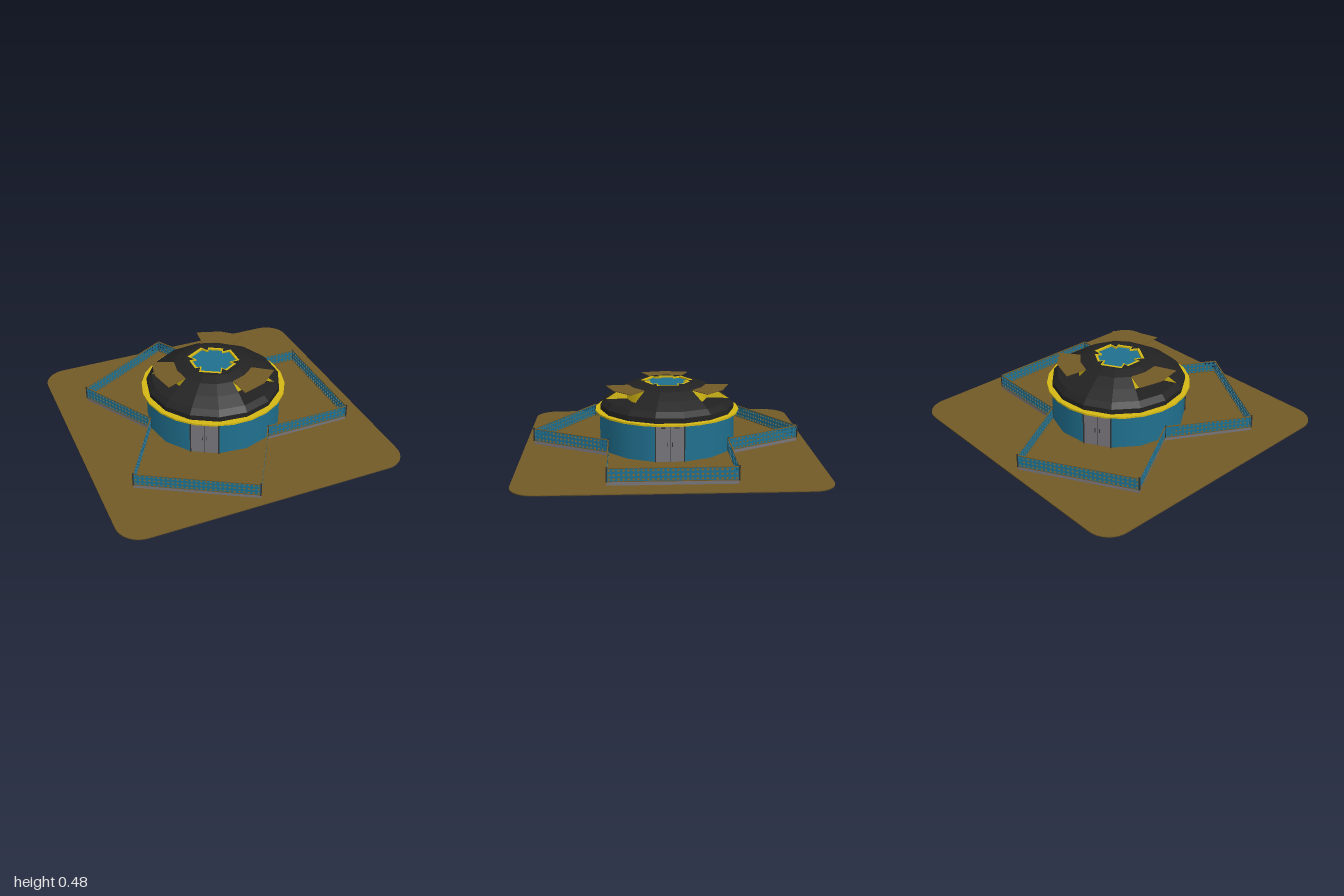
import * as THREE from 'three';

const DEG = Math.PI / 180;
const mat = (color, opts = {}) => new THREE.MeshStandardMaterial({ color, ...opts });
const polar = (r, deg) => new THREE.Vector2(r * Math.cos(deg * DEG), r * Math.sin(deg * DEG));

export function createModel() {
  const model = new THREE.Group();
  const brown = mat(0x735a26), grey = mat(0x77757a), dark = mat(0x333333);
  const yellow = mat(0xd4b814, { side: THREE.DoubleSide });
  const blue = mat(0x20708f, { side: THREE.DoubleSide });
  const roof = mat(0x222222, { flatShading: true, side: THREE.DoubleSide });

  function add(parent, name, geometry, material, x = 0, y = 0, z = 0) {
    const mesh = new THREE.Mesh(geometry, material);
    mesh.name = name;
    mesh.position.set(x, y, z);
    parent.add(mesh);
    return mesh;
  }

  // horizontal slab from a list of plan points, with optional hole
  function slab(parent, name, outline, y, height, material, hole) {
    const shape = new THREE.Shape(outline);
    if (hole) shape.holes.push(new THREE.Path(hole));
    const g = new THREE.ExtrudeGeometry(shape, { depth: height, bevelEnabled: false });
    return add(parent, name, g.rotateX(-Math.PI / 2), material, 0, y, 0);
  }

  // part of a revolved surface between two compass angles, 24 degrees per side
  function sector(parent, name, profile, from, to, material) {
    const pts = profile.map(([r, y]) => new THREE.Vector2(r, y));
    const g = new THREE.LatheGeometry(pts, (to - from) / 24, (from + 90) * DEG, (to - from) * DEG);
    return add(parent, name, g, material);
  }

  // ground plate with rounded corners
  const plate = [];
  for (const [sx, sz, start] of [[1, 1, 0], [-1, 1, 90], [-1, -1, 180], [1, -1, 270]]) {
    for (let i = 0; i <= 8; i++) {
      plate.push(polar(0.16, start + i * 11.25).add(new THREE.Vector2(sx * 0.84, sz * 0.84)));
    }
  }
  slab(model, 'groundUnderside', plate, 0, 0.005, dark);
  slab(model, 'ground', plate, 0.005, 0.005, brown);

  // three-armed yard platform
  const YX = 0.85, YZ = 0.408, NX = YZ / Math.tan(60 * DEG);
  const yard = [];
  for (const turn of [0, 120, 240]) {
    for (const [x, z] of [[YX, -YZ], [YX, YZ], [NX, YZ]]) {
      yard.push(new THREE.Vector2(x, z).rotateAround(new THREE.Vector2(), turn * DEG));
    }
  }
  slab(model, 'yardPlatform', yard, 0.01, 0.022, [brown, grey]);

  // lattice fence running along +x from its origin
  function fence(length) {
    const group = new THREE.Group();
    group.name = 'fence';
    const h = 0.086, rows = 3, cols = Math.round(length / 0.03);
    const dx = length / cols, dy = h / rows;
    const panel = new THREE.Shape([[0, 0], [length, 0], [length, h], [0, h]].map(p => new THREE.Vector2(...p)));
    for (let i = 0; i < cols; i++) for (let j = 0; j < rows; j++) {
      const cx = (i + 0.5) * dx, cy = (j + 0.5) * dy, a = dx * 0.34, b = dy * 0.34;
      panel.holes.push(new THREE.Path([[cx - a, cy], [cx, cy + b], [cx + a, cy], [cx, cy - b]].map(p => new THREE.Vector2(...p))));
    }
    add(group, 'fenceLattice', new THREE.ExtrudeGeometry(panel, { depth: 0.003, bevelEnabled: false }), blue, 0, 0.034, -0.0015);
    for (const y of [0.036, 0.121]) {
      add(group, 'fenceRail', new THREE.BoxGeometry(length, 0.005, 0.007), brown, length / 2, y, 0);
    }
    for (const x of [0, length]) {
      add(group, 'fencePost', new THREE.BoxGeometry(0.009, 0.097, 0.009), dark, x, 0.08, 0);
    }
    return group;
  }
  // the plan's second axis becomes -z once the slab is laid flat
  yard.forEach((p, i) => {
    const q = yard[(i + 1) % yard.length];
    const f = fence(p.distanceTo(q));
    f.position.set(p.x, 0, -p.y);
    f.rotation.y = Math.atan2(q.y - p.y, q.x - p.x);
    model.add(f);
  });

  // door with frame, seam and handles, on a flat face pointing to +x
  function door() {
    const group = new THREE.Group();
    group.name = 'door';
    const x = 0.47 * Math.cos(12 * DEG), w = 0.19;
    add(group, 'doorPanel', new THREE.BoxGeometry(0.012, 0.25, w), grey, x - 0.005, 0.156, 0);
    for (const s of [-1, 1]) {
      add(group, 'doorJamb', new THREE.BoxGeometry(0.016, 0.25, 0.008), dark, x, 0.156, s * w / 2);
      add(group, 'doorHandle', new THREE.BoxGeometry(0.006, 0.03, 0.005), dark, x + 0.003, 0.15, s * 0.015);
      add(group, 'doorVent', new THREE.BoxGeometry(0.004, 0.008, 0.03), dark, x + 0.001, 0.262, s * 0.045);
    }
    add(group, 'doorSeam', new THREE.BoxGeometry(0.003, 0.25, 0.003), dark, x + 0.001, 0.156, 0);
    return group;
  }

  // domed roof profile and the recessed one at the dormers
  const dome = [[0.465, 0.288], [0.465, 0.325], [0.43, 0.36], [0.35, 0.41], [0.27, 0.455], [0.2, 0.478]];
  const cheek = [[0.43, 0.36], [0.35, 0.41], [0.27, 0.455], [0.28, 0.36]].map(p => new THREE.Vector2(...p));
  for (const turn of [0, 120, 240]) {
    const third = new THREE.Group();
    third.name = 'buildingThird';
    third.rotation.y = turn * DEG;
    model.add(third);
    sector(third, 'wall', [[0.47, 0.03], [0.47, 0.284]], 12, 108, blue);
    third.add(door());
    sector(third, 'dome', dome, 84, 156, roof);
    sector(third, 'dormerSill', [...dome.slice(0, 3), [0.28, 0.36]], 36, 84, roof);
    sector(third, 'dormerWindow', [[0.28, 0.36], [0.27, 0.455]], 36, 84, yellow);
    sector(third, 'domeCap', dome.slice(4), 36, 84, roof);
    for (const angle of [36, 84]) {
      add(third, 'dormerCheek', new THREE.ShapeGeometry(new THREE.Shape(cheek)), yellow).rotation.y = angle * DEG;
    }
    const canopy = [polar(0.425, 36.5), polar(0.425, 60), polar(0.425, 83.5), polar(0.27, 83.5), polar(0.265, 60), polar(0.27, 36.5)];
    slab(third, 'dormerCanopy', canopy, 0.453, 0.005, brown);
  }

  // eaves ring
  const circle = (r, n, start) => Array.from({ length: n }, (_, i) => polar(r, start + i * 360 / n));
  slab(model, 'eavesRing', circle(0.5, 24, 7.5), 0.278, 0.012, yellow, circle(0.44, 24, 7.5));

  // skylight of three wide and three narrow arms
  const star = scale => [0, 120, 240].flatMap(turn =>
    [[24.4, 0.181], [35.5, 0.129], [41, 0.164], [79, 0.164], [84.5, 0.129], [95.6, 0.181]]
      .map(([a, r]) => polar(r * scale, a + turn)));
  slab(model, 'domeTop', circle(0.2, 15, 12), 0.468, 0.01, roof, star(0.98));
  slab(model, 'skylightFrame', star(1), 0.455, 0.025, yellow, star(0.9));
  slab(model, 'skylightGlass', star(0.95), 0.456, 0.012, blue);

  return model;
}
